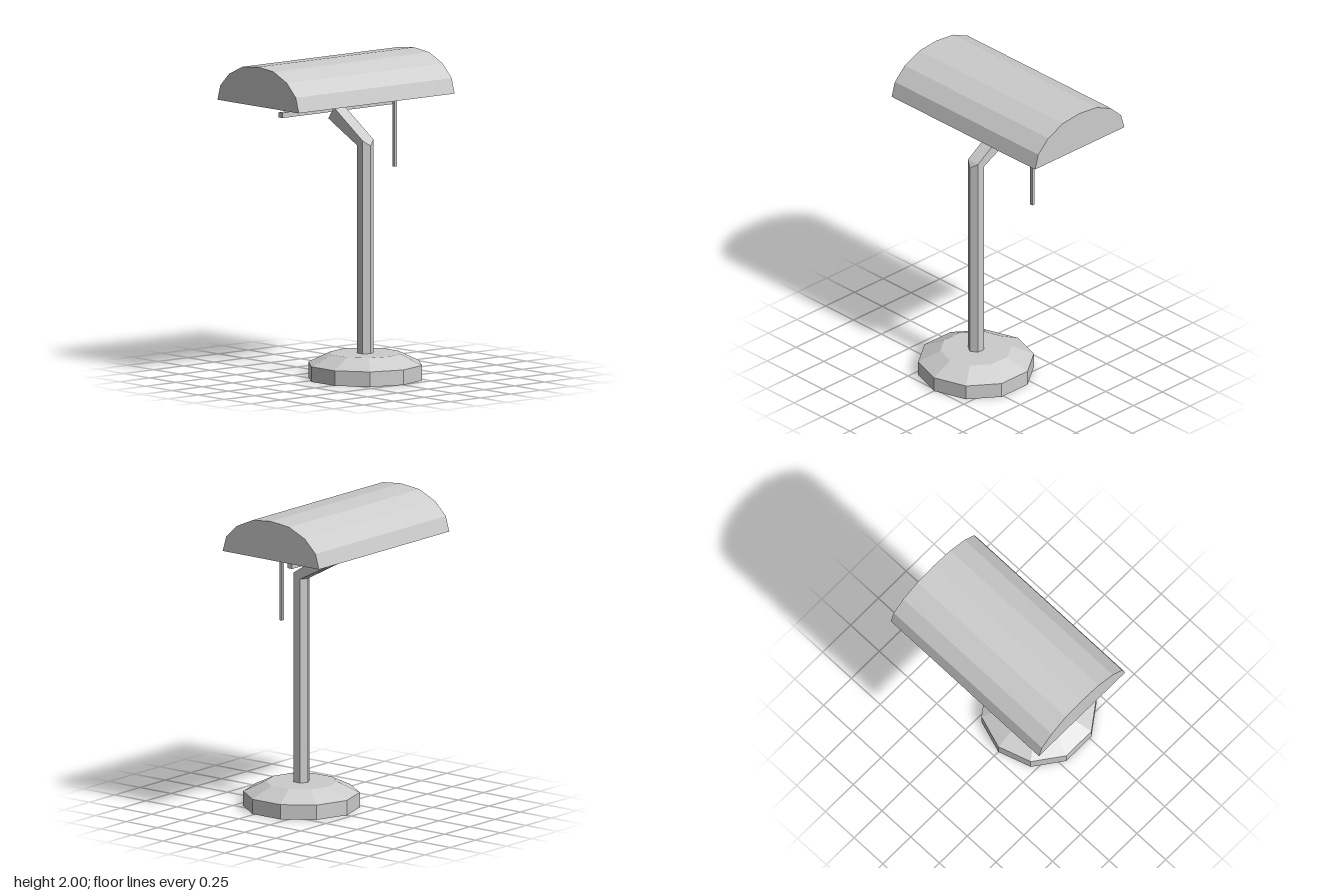
import * as THREE from 'three';

const material = new THREE.MeshStandardMaterial({ color: 0xcccccc, flatShading: true });

function add(group, name, geometry, x = 0, y = 0, z = 0) {
  const mesh = new THREE.Mesh(geometry, material);
  mesh.name = name;
  mesh.position.set(x, y, z);
  group.add(mesh);
  return mesh;
}

// Solid skinned through rings of points, closed at both ends
function loft(rings) {
  const n = rings[0].length;
  const index = [];
  for (let r = 0; r < rings.length - 1; r++) {
    for (let i = 0; i < n; i++) {
      const j = (i + 1) % n;
      const a = r * n + i, b = r * n + j;
      index.push(a, b, b + n, a, b + n, a + n);
    }
  }
  const last = (rings.length - 1) * n;
  for (let i = 1; i < n - 1; i++) {
    index.push(0, i + 1, i, last, last + i, last + i + 1);
  }
  const geometry = new THREE.BufferGeometry();
  geometry.setAttribute('position', new THREE.Float32BufferAttribute(rings.flat(2), 3));
  geometry.setIndex(index);
  const flat = geometry.toNonIndexed();
  flat.computeVertexNormals();
  return flat;
}

// Extrudes a (z, y) outline along x, centred on x = 0
function extrudeAlongX(points, length) {
  const shape = new THREE.Shape(points.map(([z, y]) => new THREE.Vector2(-z, y)));
  const geometry = new THREE.ExtrudeGeometry(shape, { depth: length, bevelEnabled: false });
  geometry.translate(0, 0, -length / 2);
  geometry.rotateY(Math.PI / 2);
  return geometry;
}

export function createModel() {
  const lamp = new THREE.Group();
  lamp.name = 'deskLamp';
  const poleZ = 0.152;

  // Ten-sided foot with a sloped top
  add(lamp, 'base', new THREE.LatheGeometry([
    new THREE.Vector2(0, 0),
    new THREE.Vector2(0.365, 0),
    new THREE.Vector2(0.365, 0.095),
    new THREE.Vector2(0.225, 0.163),
    new THREE.Vector2(0, 0.163),
  ], 10), 0, 0, poleZ);

  // Hexagonal pole bending back into an arm that flattens to a box end
  const w = 0.045;
  const hexagon = (y, sideY) => [
    [0, y, 0.205], [w, sideY, 0.178], [w, y, 0.126],
    [0, y, 0.1], [-w, y, 0.126], [-w, sideY, 0.178],
  ];
  const armEnd = [
    [0, 1.69, -0.095], [w, 1.69, -0.095], [w, 1.615, -0.148],
    [0, 1.615, -0.148], [-w, 1.615, -0.148], [-w, 1.69, -0.095],
  ];
  // A slightly raised middle ring keeps the top of the arm flat from the bend on
  const bend = hexagon(1.475, 1.51);
  const shoulder = bend.map((p) => [...p]);
  shoulder[0] = [0, 1.51, 0.178];
  add(lamp, 'poleAndArm', loft([hexagon(0.15, 0.15), bend, shoulder, armEnd]));

  // Crossbar at the end of the arm
  add(lamp, 'crossbar', new THREE.BoxGeometry(0.916, 0.032, 0.037), 0, 1.677, -0.127);

  // Curved shade: hollow shell with thin end plates
  const half = [[0.388, 1.75], [0.36, 1.845], [0.274, 1.928], [0.147, 1.985]];
  const centerZ = -0.126;
  const arch = [
    ...half.map(([d, y]) => [centerZ + d, y]),
    [centerZ, 2],
    ...half.slice().reverse().map(([d, y]) => [centerZ - d, y]),
  ];
  const inner = arch.map(([z, y]) => [
    centerZ + (z - centerZ) * 0.945,
    1.75 + (y - 1.75) * 0.92,
  ]);
  const shade = new THREE.Group();
  shade.name = 'shade';
  lamp.add(shade);
  const length = 1.29, plate = 0.012;
  add(shade, 'shadeShell', extrudeAlongX([...arch, ...inner.slice().reverse()], length - 2 * plate));
  for (const side of [-1, 1]) {
    add(shade, side > 0 ? 'leftEndPlate' : 'rightEndPlate',
      extrudeAlongX(arch, plate), side * (length - plate) / 2);
  }

  // Pull switch hanging below the shade
  add(lamp, 'pullSwitch', new THREE.BoxGeometry(0.02, 0.49, 0.02), 0.365, 1.535, 0.015);

  return lamp;
}
